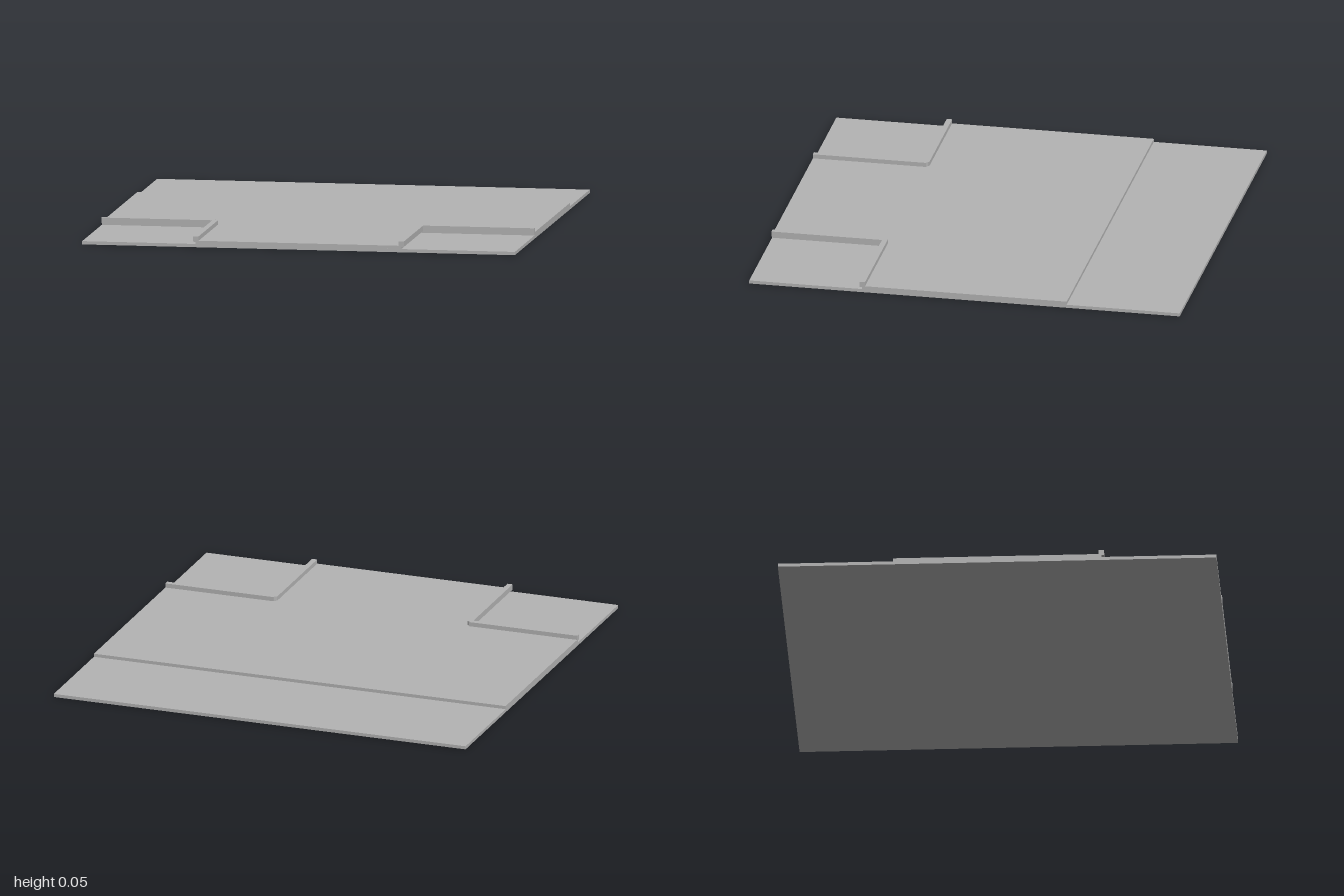
import * as THREE from 'three';

const gray = new THREE.MeshStandardMaterial({ color: 0xb4b4b4 });
gray.name = 'concreteGray';

// Flat slab from an outline of [x, z] points, between two heights
function slab(name, outline, bottom, top) {
  const shape = new THREE.Shape(outline.map(([x, z]) => new THREE.Vector2(x, -z)));
  const geometry = new THREE.ExtrudeGeometry(shape, { depth: top - bottom, bevelEnabled: false });
  geometry.rotateX(-Math.PI / 2).translate(0, bottom, 0);
  const mesh = new THREE.Mesh(geometry, gray);
  mesh.name = name;
  return mesh;
}

export function createModel() {
  const model = new THREE.Group();
  model.name = 'roadTile';

  // Thin base under the whole tile
  model.add(slab('base', [[-1, -1], [1, -1], [1, 1], [-1, 1]], 0, 0.015));

  // Raised T-shaped deck, leaving the back strip and both front corners low
  const e = 0.475;
  model.add(slab('raisedDeck',
    [[-1, -e], [1, -e], [1, e], [e, e], [e, 1], [-e, 1], [-e, e], [-1, e]], 0.015, 0.03));

  // Overhanging L-shaped curbs round the front corners, with a clipped bend
  const inner = 0.462, outer = 0.487, clip = 0.013;
  for (const [side, s] of [['left', 1], ['right', -1]]) {
    const outline = [
      [1, inner], [1, outer], [outer, outer], [outer, 1], [inner, 1],
      [inner, inner + clip], [inner + clip, inner + clip / 2], [inner + clip, inner],
    ].map(([x, z]) => [s * x, z]);
    model.add(slab(side + 'Curb', outline, 0.025, 0.05));
  }
  return model;
}
